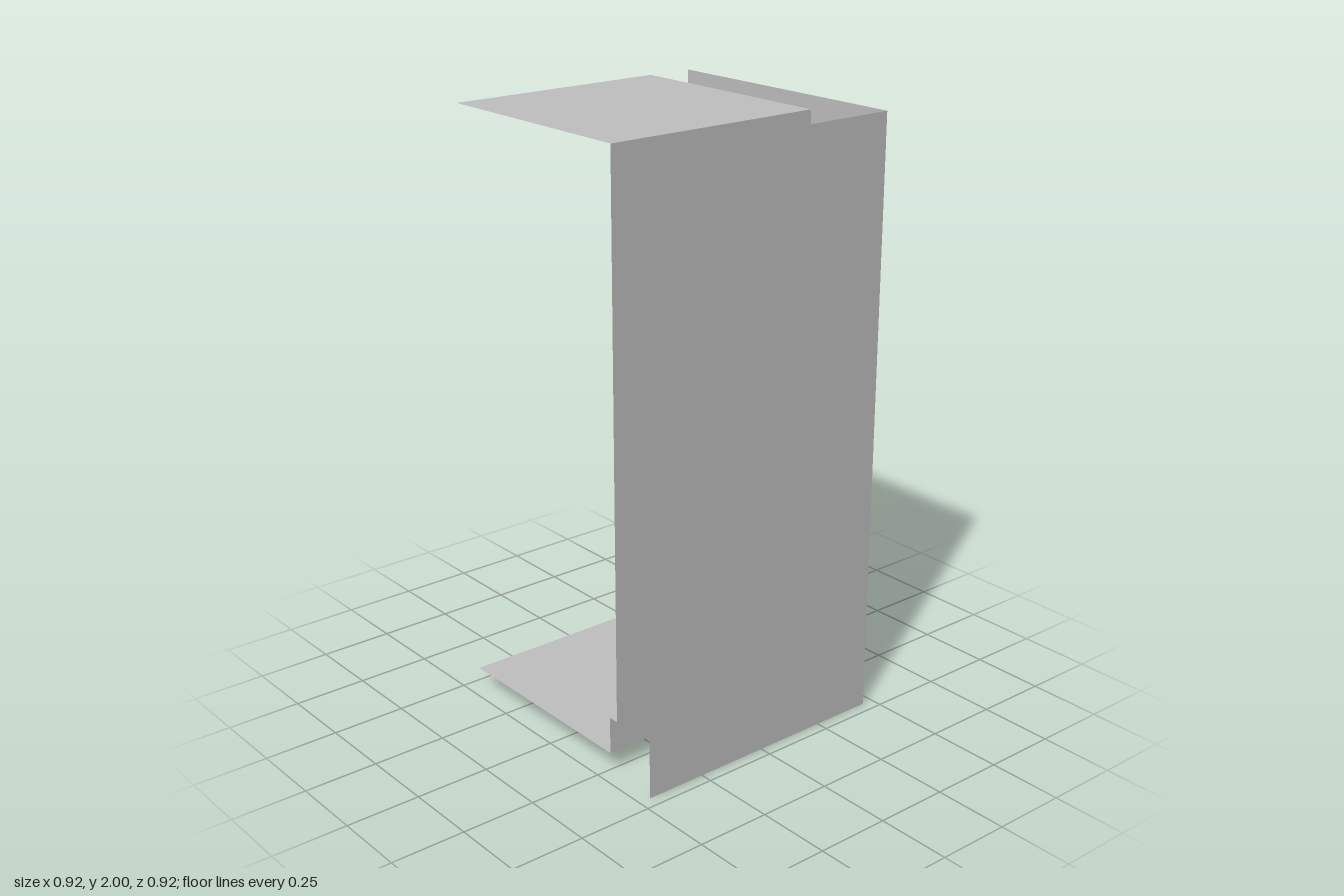
import * as THREE from 'three';

const OUT = 0.46;    // outer skin, also the open end of every sheet
const IN = 0.3;      // inner lining
const KICK = 0.265;  // recessed plinth
const TOP = 2, LEDGE = 0.195, FLOOR = 0.07;

export function createModel() {
  const model = new THREE.Group();
  const grey = new THREE.MeshStandardMaterial({ color: 0xc0c0c0, side: THREE.DoubleSide });

  const add = (name, geometry) => {
    const mesh = new THREE.Mesh(geometry, grey);
    mesh.name = name;
    model.add(mesh);
  };

  // Two upright sheets meeting at the front left corner
  const corner = (name, at, y0, y1) => {
    const width = at + OUT, mid = (at - OUT) / 2, y = (y0 + y1) / 2;
    add(name + 'Front', new THREE.PlaneGeometry(width, y1 - y0).translate(mid, y, at));
    add(name + 'Side', new THREE.PlaneGeometry(width, y1 - y0).rotateY(Math.PI / 2).translate(at, y, mid));
  };

  // Horizontal sheet drawn on the plan (x, z)
  const flat = (name, y, points) => {
    const shape = new THREE.Shape(points.map(([x, z]) => new THREE.Vector2(x, -z)));
    add(name, new THREE.ShapeGeometry(shape).rotateX(-Math.PI / 2).translate(0, y, 0));
  };
  const square = (a) => [[-OUT, -OUT], [-OUT, a], [a, a], [a, -OUT]];

  corner('outerPanel', OUT, 0, TOP);
  corner('innerWall', IN, LEDGE, TOP);
  corner('plinth', KICK, FLOOR, LEDGE);

  flat('topPlate', TOP, square(IN));
  flat('basePlate', FLOOR, square(KICK));
  // L-shaped step between wall and plinth
  flat('ledge', LEDGE, [[-OUT, KICK], [-OUT, IN], [IN, IN], [IN, -OUT], [KICK, -OUT], [KICK, KICK]]);

  return model;
}
